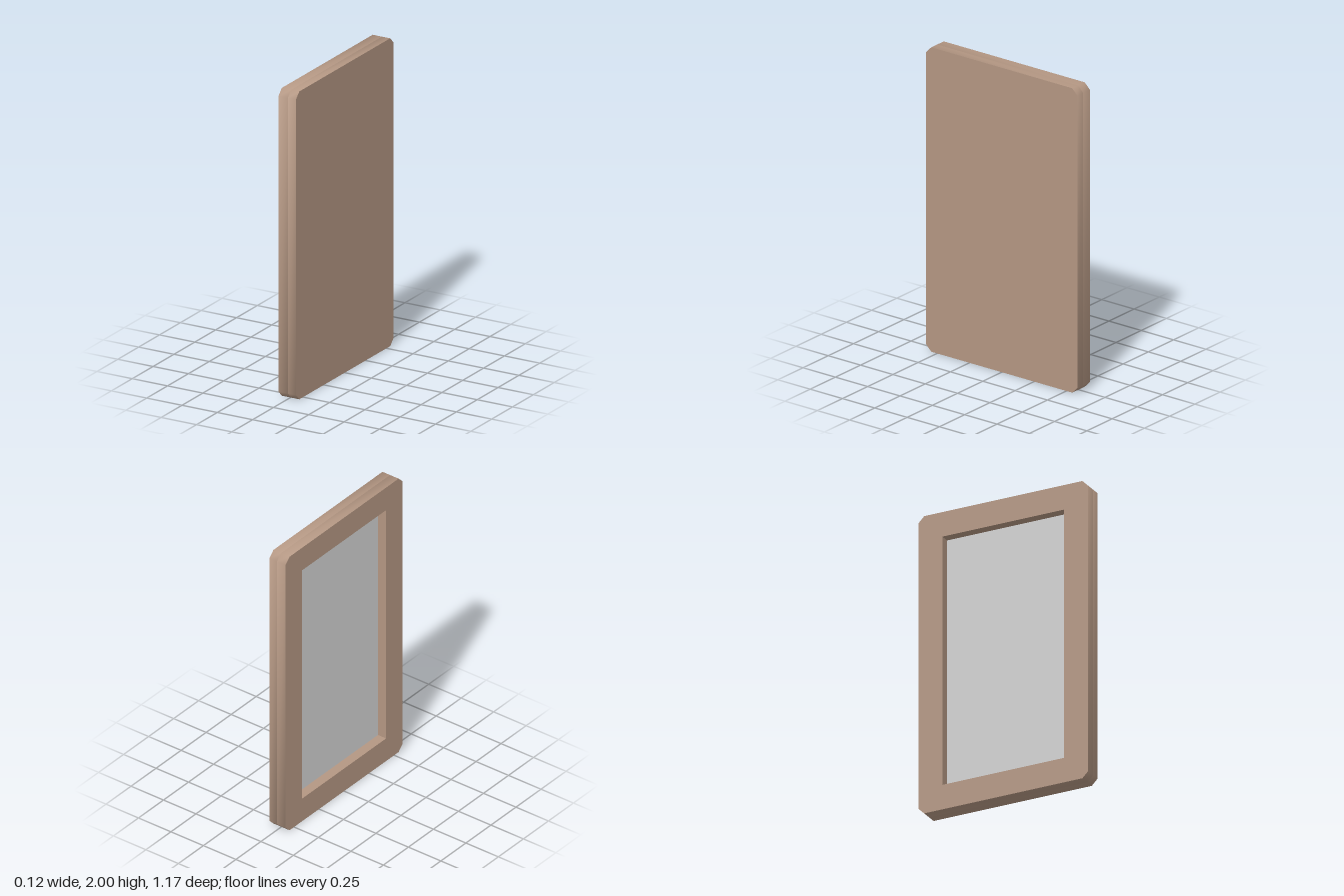
import * as THREE from 'three';
import { toCreasedNormals } from 'three/addons/utils/BufferGeometryUtils.js';

const HALF_W = 0.585, HALF_H = 1, CHAMFER = 0.04, HALF_T = 0.062;
const OPEN_W = 0.42, OPEN_H = 0.835, RECESS = 0.066;

// Rectangle with optional cut corners, centred on the origin
function outline(w, h, c) {
  const corners = c
    ? [[w - c, -h], [w, -h + c], [w, h - c], [w - c, h], [-w + c, h], [-w, h - c], [-w, -h + c], [-w + c, -h]]
    : [[w, -h], [w, h], [-w, h], [-w, -h]];
  return corners.map(([x, y]) => new THREE.Vector2(x, y));
}

// Extrude an outline sideways from x0 to x1, smooth around the rim and sharp at the faces
function slab(name, shape, x0, x1, material) {
  const geometry = new THREE.ExtrudeGeometry(shape, { depth: x1 - x0, bevelEnabled: false, steps: 1 });
  geometry.rotateY(Math.PI / 2).translate(x0, HALF_H, 0);
  const mesh = new THREE.Mesh(toCreasedNormals(geometry, Math.PI / 3), material);
  mesh.name = name;
  return mesh;
}

export function createModel() {
  const wood = new THREE.MeshStandardMaterial({ name: 'brown wood', color: 0xb49783 });
  const glass = new THREE.MeshStandardMaterial({ name: 'grey pane', color: 0xd2d2d2 });
  const floor = -HALF_T + RECESS;

  // Solid back board
  const board = new THREE.Shape(outline(HALF_W, HALF_H, CHAMFER));

  // Border around the rectangular opening
  const border = new THREE.Shape(outline(HALF_W, HALF_H, CHAMFER));
  border.holes.push(new THREE.Path(outline(OPEN_W, OPEN_H, 0).reverse()));

  // Thin pane lying on the floor of the recess
  const pane = new THREE.Shape(outline(OPEN_W, OPEN_H, 0));

  const model = new THREE.Group();
  model.name = 'framedPanel';
  model.add(
    slab('backBoard', board, floor, HALF_T, wood),
    slab('frameBorder', border, -HALF_T, floor, wood),
    slab('pane', pane, floor - 0.003, floor, glass),
  );
  return model;
}
